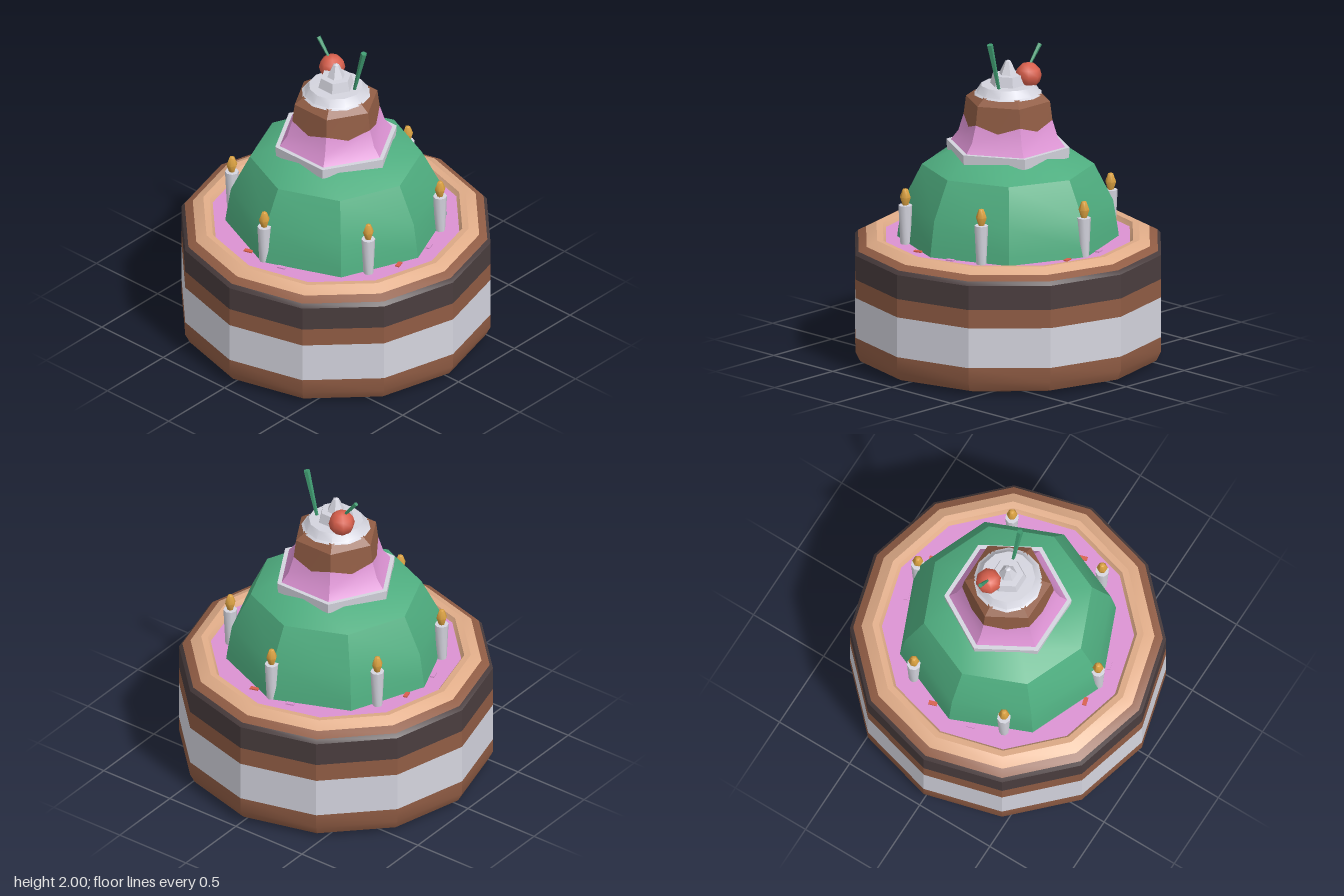
import * as THREE from 'three';
import { toCreasedNormals } from 'three/addons/utils/BufferGeometryUtils.js';

const paint = (name, color) => {
  const m = new THREE.MeshStandardMaterial({ color });
  m.name = name;
  return m;
};

export function createModel() {
  const cream = paint('cream', 0xd4d4de);
  const sponge = paint('sponge brown', 0x905c44);
  const chocolate = paint('dark chocolate', 0x4a3d3e);
  const biscuit = paint('biscuit tan', 0xe0ac88);
  const pink = paint('pink icing', 0xdb92d2);
  const green = paint('green icing', 0x4fae80);
  const leaf = paint('stem green', 0x3f9a70);
  const red = paint('cherry red', 0xd85f4c);
  const gold = paint('flame gold', 0xd9a040);

  const cake = new THREE.Group();
  cake.name = 'cake';

  function add(name, geometry, material, parent = cake) {
    const mesh = new THREE.Mesh(geometry, material);
    mesh.name = name;
    parent.add(mesh);
    return mesh;
  }

  // Faceted turned shape from [radius, height] pairs, listed bottom to top
  function turned(profile, sides, crease = 0.45) {
    const points = profile.map(([r, y]) => new THREE.Vector2(r, y));
    return toCreasedNormals(new THREE.LatheGeometry(points, sides), crease);
  }

  // Twelve-sided base in stacked colour bands
  const bands = [
    ['baseLayer', sponge, [[0, 0.006], [0.85, 0.006], [0.925, 0.03], [0.955, 0.09], [0.955, 0.18]]],
    ['creamLayer', cream, [[0.955, 0.18], [0.955, 0.43]]],
    ['upperLayer', sponge, [[0.955, 0.43], [0.955, 0.545]]],
    ['chocolateLayer', chocolate, [[0.955, 0.545], [0.955, 0.695], [0.935, 0.718]]],
    ['rimEdge', sponge, [[0.935, 0.718], [0.885, 0.745]]],
    ['biscuitRim', biscuit, [[0.885, 0.745], [0.82, 0.78], [0.78, 0.775], [0.76, 0.745]]],
    ['icingFloor', pink, [[0.77, 0.748], [0, 0.748]]],
  ];
  for (const [name, material, profile] of bands) add(name, turned(profile, 12), material);

  // Star and hexagon plates under the base
  const star = new THREE.Shape();
  for (let i = 0; i < 12; i++) {
    const r = i % 2 ? 0.27 : 0.41, a = i * Math.PI / 6;
    star[i ? 'lineTo' : 'moveTo'](r * Math.cos(a), r * Math.sin(a));
  }
  add('undersideStar', new THREE.ShapeGeometry(star), cream).position.y = 0.004;
  add('undersideRing', new THREE.CircleGeometry(0.33, 6, Math.PI / 2), biscuit).position.y = 0.002;
  add('undersideCentre', new THREE.CircleGeometry(0.25, 6, Math.PI / 2), sponge);
  for (const part of cake.children.slice(-3)) part.rotation.x = Math.PI / 2;

  // Eight-sided dome
  add('dome', turned([[0.67, 0.74], [0.662, 0.8], [0.635, 0.97], [0.52, 1.2], [0.33, 1.295], [0, 1.32]], 8), green);

  // Hexagonal collar
  add('collar', turned([[0.3, 1.265], [0.38, 1.265], [0.385, 1.33], [0.3, 1.33]], 6), cream);

  // Hexagonal bun: rings hold corners and face middles, so the icing line can zigzag
  const c30 = Math.cos(Math.PI / 6);
  const ring = (r, y, rMid = r, yMid = y) => Array.from({ length: 12 }, (_, i) => {
    const a = i * Math.PI / 6, rad = i % 2 ? rMid * c30 : r;
    return [rad * Math.sin(a), i % 2 ? yMid : y, rad * Math.cos(a)];
  });
  function loft(rings) {
    const index = [];
    for (let j = 0; j < rings.length - 1; j++) {
      for (let i = 0; i < 12; i++) {
        const a = j * 12 + i, b = j * 12 + (i + 1) % 12;
        index.push(a, b, b + 12, a, b + 12, a + 12);
      }
    }
    const g = new THREE.BufferGeometry();
    g.setAttribute('position', new THREE.Float32BufferAttribute(rings.flat(2), 3));
    g.setIndex(index);
    return toCreasedNormals(g, 0.5);
  }
  const icingLine = ring(0.277, 1.495, 0.286, 1.45);
  add('bunIcing', loft([ring(0.36, 1.325), ring(0.31, 1.39), icingLine]), pink);
  add('bun', loft([icingLine, ring(0.262, 1.61), ring(0.205, 1.652)]), sponge);

  // Stepped whipped cream
  add('creamBase', turned([[0.21, 1.645], [0.195, 1.655], [0.165, 1.7], [0, 1.705]], 12), cream);
  add('creamMiddle', turned([[0.115, 1.69], [0.095, 1.764], [0, 1.768]], 6), cream);
  add('creamPeak', turned([[0.058, 1.76], [0.018, 1.845], [0, 1.853]], 6), cream);

  // Tapered stick between two points
  function stick(name, from, to, rFrom, rTo) {
    const a = new THREE.Vector3(...from), b = new THREE.Vector3(...to);
    const dir = b.clone().sub(a);
    const g = toCreasedNormals(new THREE.CylinderGeometry(rTo, rFrom, dir.length(), 5), 0.5);
    const mesh = add(name, g, leaf);
    mesh.position.copy(a).lerp(b, 0.5);
    mesh.quaternion.setFromUnitVectors(new THREE.Vector3(0, 1, 0), dir.normalize());
  }

  // Cherry, stem and straw
  add('cherry', new THREE.SphereGeometry(0.08, 8, 6), red).position.set(0.075, 1.752, -0.1);
  stick('cherryStem', [0.068, 1.79, -0.1], [0.068, 1.925, -0.205], 0.007, 0.014);
  stick('straw', [0.037, 1.69, 0.115], [0.037, 1.993, 0.195], 0.01, 0.02);

  // Ring of six candles
  const candleBody = turned([[0.03, 0.74], [0.042, 0.99], [0, 0.992]], 8, 0.9);
  const flameShape = turned([[0.018, 0.99], [0.034, 1.04], [0.016, 1.09], [0, 1.095]], 6, 1.1);
  for (let i = 0; i < 6; i++) {
    const a = Math.PI / 2 + i * Math.PI / 3;
    const candle = new THREE.Group();
    candle.name = 'candle';
    candle.position.set(0.643 * Math.sin(a), 0, 0.643 * Math.cos(a));
    add('candleBody', candleBody, cream, candle);
    add('flame', flameShape, gold, candle);
    cake.add(candle);
  }

  // Sprinkles in mirrored pairs around the icing floor
  const sprinkle = new THREE.BoxGeometry(0.052, 0.008, 0.026);
  for (let i = 0; i < 8; i++) {
    const side = i % 2 ? 1 : -1;
    const a = Math.floor(i / 2) * Math.PI / 2 + side * 0.21;
    const mesh = add('sprinkle', sprinkle, i % 2 ? pink : red);
    mesh.position.set(0.65 * Math.sin(a), 0.752, 0.65 * Math.cos(a));
    mesh.rotation.y = a + side * -0.2 + 0.3;
  }
  return cake;
}
